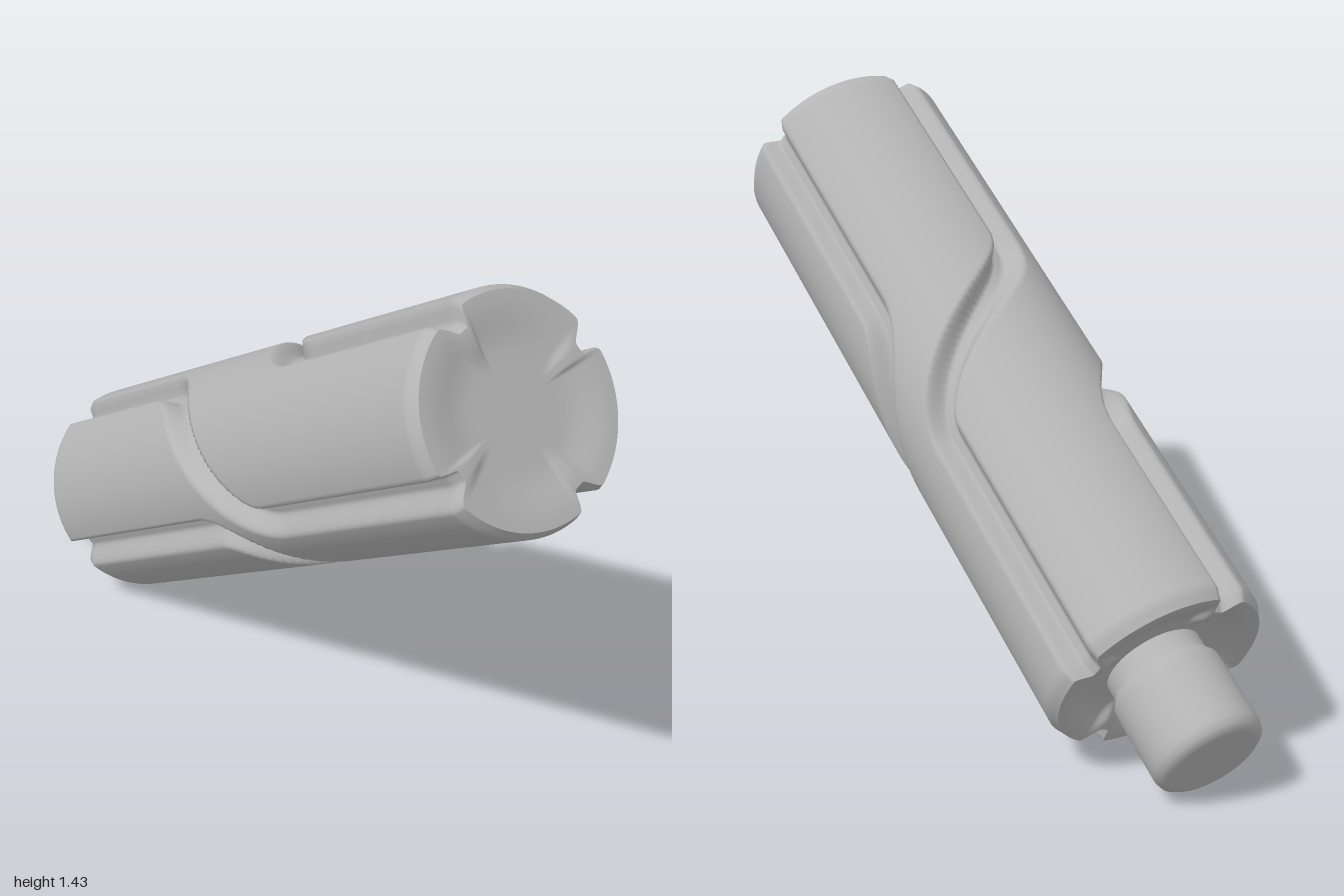
import * as THREE from 'three';

const R = 0.285, BODY = 1.848, TOTAL = 2.108, DEPTH = 0.048;
const COLS = 256;

// Four channels: start angle, axial middle of the quarter-turn bend, half length of the bend
const CHANNELS = [
  { angle: 17, mid: 0.97, half: 0.29 },
  { angle: 107, mid: 0.88, half: 0.25 },
  { angle: 198, mid: 1.02, half: 0.28 },
  { angle: 289, mid: 0.83, half: 0.23 },
];

const smooth = (a, b, x) => THREE.MathUtils.smoothstep(x, a, b);

// Angle of a channel at distance t from the front end
function channelAngle(c, t) {
  const turn = smooth(c.mid - c.half, c.mid + c.half, t);
  return THREE.MathUtils.degToRad(c.angle - 90 * turn);
}

// Outer radius of the body, with channels pressed in and ends rounded over
function bodyRadius(a, t) {
  let cut = 0;
  for (const c of CHANNELS) {
    const centre = channelAngle(c, t);
    const slope = (channelAngle(c, t + 0.005) - channelAngle(c, t - 0.005)) / 0.01;
    let d = a - centre;
    d = Math.atan2(Math.sin(d), Math.cos(d));
    // keep the channel width constant across the bend
    const across = R * d / Math.sqrt(1 + (R * slope) ** 2);
    // one steep wall, one soft wall
    const profile = across < 0
      ? 1 - smooth(0.016, 0.038, -across)
      : 1 - smooth(0.016, 0.06, across);
    cut = Math.max(cut, profile);
  }
  const end = Math.min(t, BODY - t);
  const round = 0.014 * (1 - smooth(0, 0.03, end));
  return R - DEPTH * cut - round;
}

// Skin made of closed rings; place(angle, row fraction) gives a point
function ringSkin(rows, place) {
  const pos = [], index = [];
  for (let i = 0; i <= rows; i++) {
    for (let j = 0; j < COLS; j++) {
      pos.push(...place((j / COLS) * Math.PI * 2, i / rows));
    }
  }
  for (let i = 0; i < rows; i++) {
    for (let j = 0; j < COLS; j++) {
      const k = (j + 1) % COLS;
      const a = i * COLS + j, b = a + COLS, c = i * COLS + k, d = c + COLS;
      index.push(a, b, c, b, d, c);
    }
  }
  const g = new THREE.BufferGeometry();
  g.setAttribute('position', new THREE.Float32BufferAttribute(pos, 3));
  g.setIndex(index);
  g.computeVertexNormals();
  return g;
}

export function createModel() {
  const group = new THREE.Group();
  const grey = new THREE.MeshStandardMaterial({ color: 0xb4b4b4 });
  grey.name = 'plain grey';

  const add = (name, geometry) => {
    const mesh = new THREE.Mesh(geometry, grey);
    mesh.name = name;
    group.add(mesh);
  };
  const at = (a, r, z) => [r * Math.cos(a), r * Math.sin(a), z];

  // Channelled cylinder running back from the front end
  add('groovedBody', ringSkin(130, (a, f) => at(a, bodyRadius(a, f * BODY), -f * BODY)));

  // Front face, slightly dished
  add('frontFace', ringSkin(12, (a, f) =>
    at(a, f * bodyRadius(a, 0), -0.018 * (1 - smooth(0.5, 0.95, f)))));

  // Back face, slightly hollow around the shank
  add('backFace', ringSkin(12, (a, f) =>
    at(a, (1 - f) * bodyRadius(a, BODY), -BODY + 0.03 * smooth(0.05, 0.4, f))));

  // Shank with a narrow neck and a rounded tip
  const profile = [
    [0.125, BODY - 0.05], [0.125, BODY + 0.01], [0.132, BODY + 0.025],
    [0.14, BODY + 0.035], [0.142, BODY + 0.06], [0.142, TOTAL - 0.05],
    [0.142, TOTAL - 0.03], [0.136, TOTAL - 0.012], [0.122, TOTAL - 0.002],
    [0.11, TOTAL], [0, TOTAL],
  ].map(([x, y]) => new THREE.Vector2(x, y));
  add('shank', new THREE.LatheGeometry(profile, 48).rotateX(-Math.PI / 2));

  // Lean the whole piece so its front end points up and forward
  const axis = new THREE.Vector3(-0.135, 0.515, 0.847).normalize();
  const side = new THREE.Vector3(1, 0, 0).addScaledVector(axis, -axis.x).normalize();
  const up = new THREE.Vector3().crossVectors(axis, side);
  group.quaternion.setFromRotationMatrix(new THREE.Matrix4().makeBasis(side, up, axis));
  group.position.set(-0.13, 1.2, 0.86);
  group.name = 'groovedCylinder';

  const model = new THREE.Group();
  model.name = 'model';
  model.add(group);
  return model;
}
